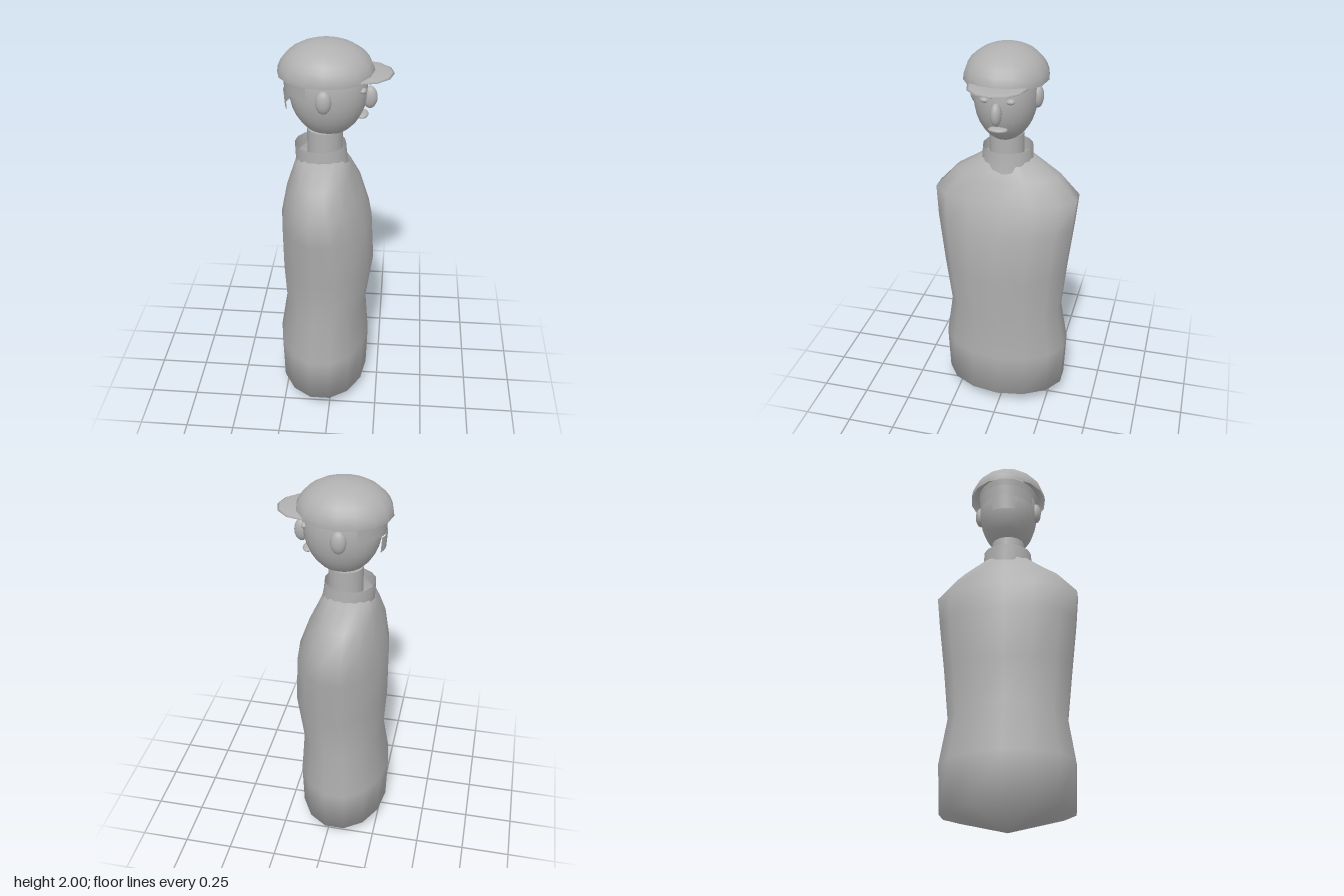
import * as THREE from 'three';

const grey = new THREE.MeshStandardMaterial({ color: 0xb0b0b0, side: THREE.DoubleSide });
grey.name = 'plain grey';

function add(group, name, geometry, x = 0, y = 0, z = 0) {
  const mesh = new THREE.Mesh(geometry, grey);
  mesh.name = name;
  mesh.position.set(x, y, z);
  group.add(mesh);
  return mesh;
}

function ellipsoid(rx, ry, rz, sides = 16, rows = 10) {
  return new THREE.SphereGeometry(1, sides, rows).scale(rx, ry, rz);
}

// Smooth skin over elliptical rings: [y, centre x, radius x, radius z]
function loft(rings, sides) {
  const pos = [], index = [];
  rings.forEach(([y, cx, rx, rz], i) => {
    for (let j = 0; j < sides; j++) {
      const a = (j / sides) * Math.PI * 2;
      pos.push(cx + rx * Math.cos(a), y, rz * Math.sin(a));
      if (i === rings.length - 1) continue;
      const k = (j + 1) % sides, p = i * sides, q = p + sides;
      if (rx > 0) index.push(p + j, q + j, p + k);
      if (rings[i + 1][2] > 0) index.push(p + k, q + j, q + k);
    }
  });
  const g = new THREE.BufferGeometry();
  g.setAttribute('position', new THREE.Float32BufferAttribute(pos, 3));
  g.setIndex(index);
  g.computeVertexNormals();
  return g;
}

export function createModel() {
  const model = new THREE.Group();
  model.name = 'figure';

  // Torso, closed by a shallow cone underneath
  add(model, 'torso', loft([
    [0, -0.048, 0, 0],
    [0.085, -0.048, 0.233, 0.328],
    [0.33, -0.048, 0.24, 0.338],
    [0.56, -0.038, 0.213, 0.302],
    [0.82, -0.028, 0.238, 0.329],
    [1.08, -0.035, 0.231, 0.36],
    [1.23, -0.047, 0.19, 0.375],
    [1.34, -0.055, 0.147, 0.27],
    [1.425, -0.06, 0.115, 0.128],
    [1.43, -0.06, 0, 0],
  ], 14));

  // Open collar and neck
  add(model, 'collar', loft([
    [1.35, -0.052, 0.133, 0.132],
    [1.42, -0.06, 0.128, 0.13],
    [1.48, -0.064, 0.126, 0.126],
  ], 16));
  add(model, 'neck', new THREE.CylinderGeometry(0.087, 0.087, 0.16, 16), -0.042, 1.48, 0);

  // Head, facing +x
  add(model, 'head', ellipsoid(0.188, 0.235, 0.155, 24, 16), -0.025, 1.765, 0);
  add(model, 'nose', ellipsoid(0.036, 0.056, 0.027), 0.173, 1.725, 0);
  add(model, 'mouth', ellipsoid(0.03, 0.014, 0.048), 0.138, 1.637, 0);
  for (const side of [-1, 1]) {
    add(model, side > 0 ? 'leftFaceEye' : 'rightFaceEye', ellipsoid(0.018, 0.014, 0.022), 0.142, 1.782, side * 0.062);
    add(model, side > 0 ? 'nearEar' : 'farEar', ellipsoid(0.038, 0.057, 0.028), -0.035, 1.755, side * 0.153);
  }

  // Stepped hair shell: [half angle, lower edge, upper edge]
  for (const [half, low, high] of [[0.4, 1.675, 1.755], [1.13, 1.755, 1.82], [1.57, 1.82, 1.86]]) {
    const hair = new THREE.CylinderGeometry(1, 0.97, high - low, 16, 1, true, Math.PI * 1.5 - half, half * 2);
    add(model, 'hair', hair.scale(0.208, 1, 0.16), -0.03, (low + high) / 2, 0);
  }

  // Cap dome and peak
  const dome = new THREE.SphereGeometry(1, 16, 8, 0, Math.PI * 2, 0, Math.PI / 2);
  add(model, 'capDome', dome.scale(0.231, 0.16, 0.205), -0.034, 1.84, 0);
  add(model, 'capPeak', ellipsoid(0.145, 0.014, 0.145, 12, 8), 0.14, 1.847, 0);

  return model;
}
